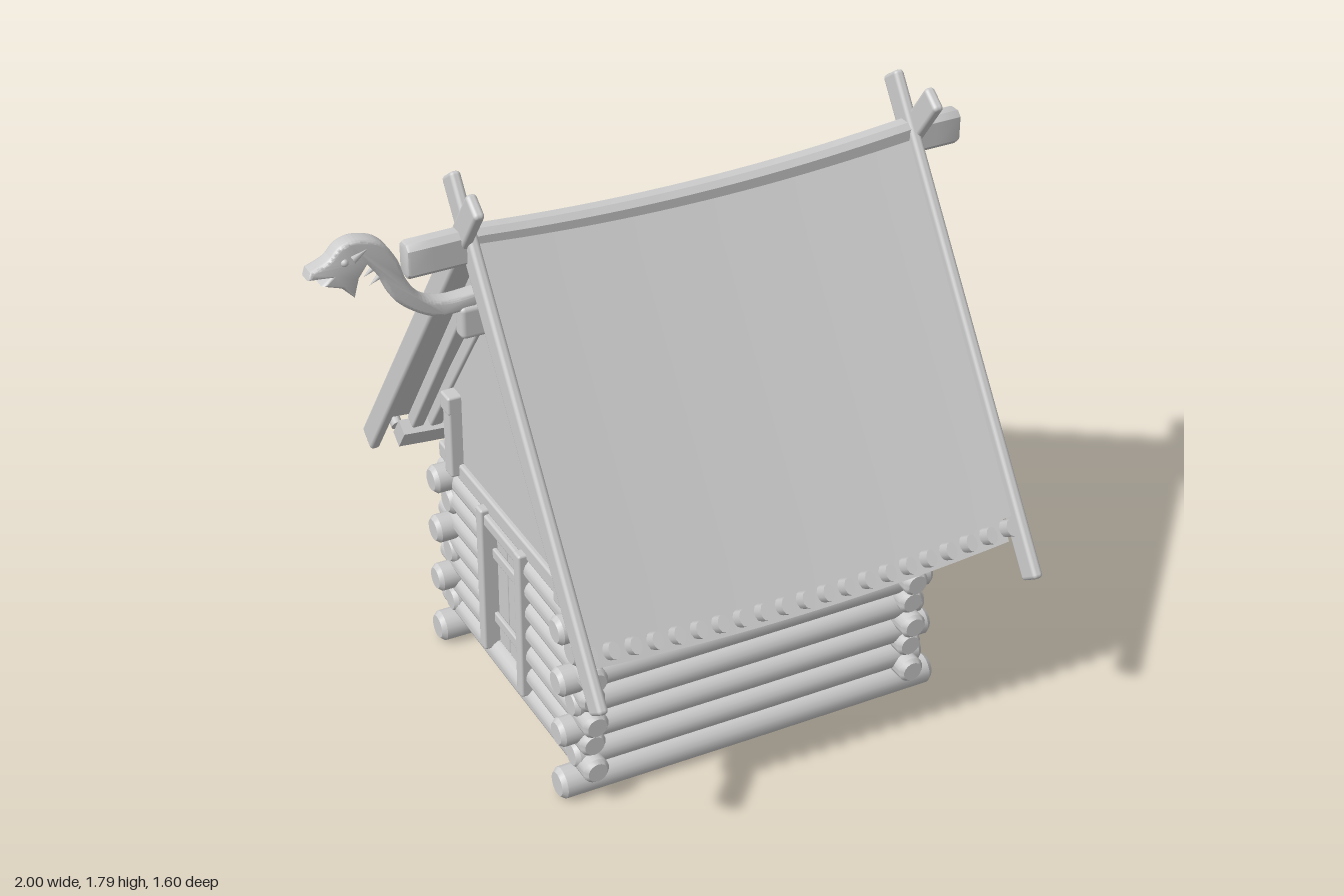
import * as THREE from 'three';
import { toCreasedNormals } from 'three/addons/utils/BufferGeometryUtils.js';
import { RoundedBoxGeometry } from 'three/addons/geometries/RoundedBoxGeometry.js';

const MID = 0.155; // centre of the house along x
const V2 = (x, y) => new THREE.Vector2(x, y);
const V3 = (x, y, z) => new THREE.Vector3(x, y, z);

export function createModel() {
  const model = new THREE.Group();
  const mat = new THREE.MeshStandardMaterial({ color: 0xcccccc });
  const thin = new THREE.MeshStandardMaterial({ color: 0xcccccc, side: THREE.DoubleSide });

  function add(name, geo, x = 0, y = 0, z = 0, material = mat) {
    const mesh = new THREE.Mesh(geo, material);
    mesh.name = name;
    mesh.position.set(x, y, z);
    model.add(mesh);
    return mesh;
  }
  const block = (name, w, h, d, x, y, z, r = 0.008) =>
    add(name, new RoundedBoxGeometry(w, h, d, 2, r), x, y, z);

  // Round log with softened ends, running from a to b
  function log(name, a, b, r) {
    const h = a.distanceTo(b) / 2;
    const e = r * 0.3;
    const profile = [V2(0, -h), V2(r * 0.75, -h), V2(r, -h + e), V2(r * 1.03, 0), V2(r, h - e), V2(r * 0.75, h), V2(0, h)];
    const geo = toCreasedNormals(new THREE.LatheGeometry(profile, 18), 0.6);
    const mesh = add(name, geo, ...a.clone().add(b).multiplyScalar(0.5).toArray());
    mesh.quaternion.setFromUnitVectors(V3(0, 1, 0), b.clone().sub(a).normalize());
    return mesh;
  }

  // Squared timber running from a to b in a plane of constant x
  function timber(name, a, b, w, h, r = 0.008) {
    const mesh = block(name, w, h, a.distanceTo(b), ...a.clone().add(b).multiplyScalar(0.5).toArray(), r);
    mesh.lookAt(b);
    return mesh;
  }

  // The whole roof dips gently between its gables
  const sag = (x) => -0.035 * Math.max(0, 1 - ((x - MID) / 0.68) ** 2);
  function bend(geo) {
    const p = geo.attributes.position;
    for (let i = 0; i < p.count; i++) p.setY(i, p.getY(i) + sag(p.getX(i)));
    geo.computeVertexNormals();
    return geo;
  }

  // Long side walls of logs
  const sideRows = [0.05, 0.14, 0.232, 0.322, 0.41, 0.5, 0.588];
  for (const s of [-1, 1]) {
    sideRows.forEach((y, i) => {
      const left = i % 2 ? -0.455 : -0.5;
      const right = i === 0 ? 0.73 : i % 2 ? 0.69 : 0.715;
      log('sideLog', V3(left, y, s * 0.425), V3(right, y, s * 0.425), i ? 0.044 : 0.048);
    });
  }

  // Gable walls of logs, with a doorway in the -x wall
  const endRows = [0.118, 0.2, 0.278, 0.355, 0.432, 0.508, 0.58];
  for (const x of [-0.41, 0.63]) {
    endRows.forEach((y, i) => {
      const e = i % 2 ? 0.49 : 0.51;
      const spans = x < 0 && i > 0 ? [[-e, -0.16], [0.1, e]] : [[-e, e]];
      for (const [a, b] of spans) log('endLog', V3(x, y, a), V3(x, y, b), 0.04);
    });
    block('topPlate', 0.06, 0.055, 1.0, x, 0.643, 0);
    // Upright corner posts above the log walls
    for (const s of [-1, 1]) {
      block('gablePost', 0.05, 0.27, 0.05, x + Math.sign(x) * 0.03, 0.765, s * 0.37);
      block('gablePostCap', 0.055, 0.06, 0.06, x + Math.sign(x) * 0.03, 0.875, s * 0.375);
      block('innerPost', 0.05, 0.28, 0.04, x - Math.sign(x) * 0.02, 0.765, s * 0.405);
    }
    // Triangular gable panel
    const panel = new THREE.Shape([V2(-0.42, 0.62), V2(0.42, 0.62), V2(0.42, 0.93), V2(0, 1.54), V2(-0.42, 0.93)]);
    const geo = new THREE.ExtrudeGeometry(panel, { depth: 0.03, bevelEnabled: false });
    geo.translate(0, 0, -0.015).rotateY(Math.PI / 2);
    add('gablePanel', geo, x, 0, 0);
  }

  // Door with frame, planks and battens
  for (const z of [-0.16, 0.1]) block('doorPost', 0.09, 0.5, 0.04, -0.42, 0.385, z);
  block('doorLintel', 0.08, 0.04, 0.3, -0.415, 0.6, -0.03);
  for (let i = 0; i < 3; i++) block('doorPlank', 0.025, 0.44, 0.07, -0.405, 0.375, -0.104 + i * 0.074, 0.005);
  for (const y of [0.25, 0.48]) block('doorBatten', 0.015, 0.035, 0.22, -0.425, y, -0.03, 0.005);

  // Roof slopes, bargeboards, rafters and eaves
  const down = V2(0.66, -0.935).normalize(); // slope direction in (z, y)
  const tilt = Math.atan2(-down.y, down.x);
  const slopeLength = 1.14;
  for (const s of [-1, 1]) {
    const slab = new THREE.BoxGeometry(1.37, 0.03, slopeLength, 20, 1, 8);
    slab.rotateX(tilt).translate(MID, 1.635 + (down.y * slopeLength) / 2, (down.x * slopeLength) / 2);
    if (s < 0) slab.translate(-MID, 0, 0).rotateY(Math.PI).translate(MID, 0, 0);
    add('roofSlope', toCreasedNormals(bend(slab), 0.7), 0, 0, 0, thin);

    for (const e of [-1, 1]) {
      const x = MID + e * (s > 0 ? 0.688 : 0.704);
      timber('bargeboard', V3(x, 0.552, s * 0.775), V3(x, 1.77, s * -0.1), 0.032, 0.078, 0.012);
      // Paired rafters carrying the overhang
      for (const [off, drop] of [[0.63, 0], [0.57, 0.05]]) {
        const rx = MID + e * off;
        timber('rafter', V3(rx, 0.7 - drop * 0.2, s * 0.585), V3(rx, 1.53 - drop, s * 0.01), 0.04, 0.045);
      }
    }
    for (const x of [-0.1, 0.32]) timber('innerRafter', V3(x, 0.66, s * 0.6), V3(x, 1.5, s * 0.01), 0.04, 0.04);

    // Eave board under the lower edge
    const board = new THREE.BoxGeometry(1.34, 0.05, 0.085, 16, 1, 1);
    board.rotateX(s * tilt).translate(MID, 0.645, s * 0.625);
    add('eaveBoard', toCreasedNormals(bend(board), 0.6));

    // Row of small teeth along the eave
    for (let i = 0; i < 21; i++) {
      const x = MID - 0.665 + i * 0.0665;
      const tooth = add('eaveTooth', new THREE.CylinderGeometry(0.017, 0.017, 0.045, 10), x, 0.672 + sag(x), s * 0.668);
      tooth.rotation.x = s * tilt;
      tooth.scale.z = 1.5;
    }
  }

  // Ridge beam, curved with the roof and jutting from both gables
  const w = 0.022, h = 0.042;
  const section = new THREE.Shape([V2(-w, -h + 0.01), V2(-w + 0.01, -h), V2(w - 0.01, -h), V2(w, -h + 0.01),
    V2(w, h - 0.01), V2(w - 0.01, h), V2(-w + 0.01, h), V2(-w, h - 0.01)]);
  const ridge = new THREE.ExtrudeGeometry(section, {
    depth: 1.7, steps: 24, bevelThickness: 0.01, bevelSize: 0.01, bevelSegments: 2 });
  ridge.rotateY(Math.PI / 2).translate(-0.71, 0, 0);
  const rp = ridge.attributes.position;
  for (let i = 0; i < rp.count; i++) rp.setY(i, rp.getY(i) + 1.608 + 0.008 * (rp.getX(i) - MID));
  add('ridgeBeam', toCreasedNormals(bend(ridge), 0.6));
  for (const x of [-0.485, 0.765]) block('ridgePeg', 0.02, 0.05, 0.02, x, 1.595, -0.052, 0.004);

  // Lower purlin below the ridge
  block('ridgePurlin', 1.46, 0.1, 0.05, MID, 1.38, 0.012, 0.015);

  // Carved animal head on a curved neck
  const carve = new THREE.Shape();
  carve.moveTo(-0.52, 1.417);
  carve.splineThru([V2(-0.62, 1.415), V2(-0.685, 1.438), V2(-0.755, 1.495), V2(-0.795, 1.575), V2(-0.83, 1.625)]);
  carve.lineTo(-0.855, 1.59);
  carve.lineTo(-0.87, 1.535);
  carve.lineTo(-0.905, 1.572);
  carve.lineTo(-0.96, 1.592);
  carve.lineTo(-0.935, 1.612);
  carve.lineTo(-0.998, 1.618);
  carve.lineTo(-0.99, 1.642);
  carve.splineThru([V2(-0.94, 1.662), V2(-0.905, 1.695), V2(-0.855, 1.706), V2(-0.79, 1.683),
    V2(-0.745, 1.62), V2(-0.72, 1.55), V2(-0.675, 1.487), V2(-0.61, 1.462), V2(-0.52, 1.465)]);
  const carved = new THREE.ExtrudeGeometry(carve, {
    depth: 0.03, curveSegments: 24, bevelThickness: 0.013, bevelSize: 0.01, bevelOffset: -0.01, bevelSegments: 3 });
  carved.translate(0, 0, -0.015);
  add('carvedHead', toCreasedNormals(carved, 0.7));
  for (const s of [-1, 1]) {
    add('eye', new THREE.SphereGeometry(0.011, 12, 8), -0.895, 1.65, s * 0.027);
    const ear = add('ear', new THREE.ConeGeometry(0.012, 0.05, 8), -0.85, 1.665, s * 0.028);
    ear.rotation.z = -1.1;
  }
  for (const [x, y] of [[-0.822, 1.588], [-0.805, 1.56]]) {
    const tuft = add('throatTuft', new THREE.ConeGeometry(0.008, 0.035, 8), x, y, 0);
    tuft.rotation.z = 2.2;
  }
  return model;
}
